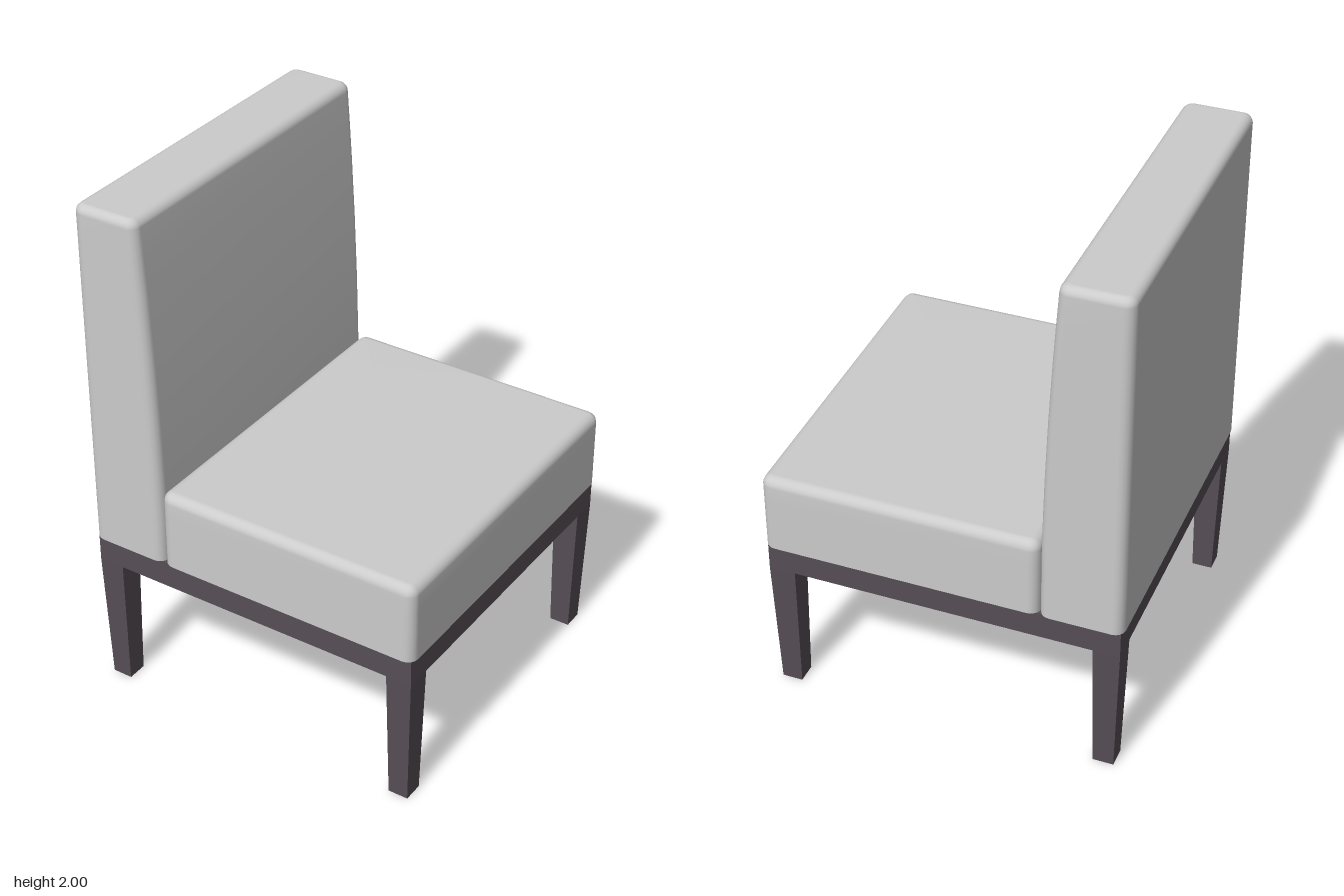
import * as THREE from 'three';

const fabric = new THREE.MeshStandardMaterial({ color: 0xcccccc, side: THREE.DoubleSide });
const wood = new THREE.MeshStandardMaterial({ color: 0x564e55 });

const BASE = 0.635; // top of the frame, where the cushions rest
const HALF_Z = 0.658;

// Upholstered shell, open underneath: rounded-rectangle rings stacked upwards.
// frontAt(y) gives the front face's x at each height.
function cushion(name, x0, frontAt, top, heights, round) {
  const corner = 0.04, steps = 4;
  const rings = heights.map((y) => [y, 0]);
  for (let i = 0; i <= 5; i++) {
    const a = (i / 5) * Math.PI / 2;
    rings.push([top - round + round * Math.sin(a), round * (1 - Math.cos(a))]);
  }
  const pos = [], index = [], n = 4 * (steps + 1);
  for (const [y, inset] of rings) {
    const r = Math.max(corner - inset, 0.006);
    const xa = x0 + inset + r, xb = frontAt(y) - inset - r, z = HALF_Z - inset - r;
    const centres = [[xb, z], [xa, z], [xa, -z], [xb, -z]];
    centres.forEach(([cx, cz], q) => {
      for (let s = 0; s <= steps; s++) {
        const a = (q + s / steps) * Math.PI / 2;
        pos.push(cx + r * Math.cos(a), y, cz + r * Math.sin(a));
      }
    });
  }
  for (let k = 0; k < rings.length - 1; k++) {
    for (let i = 0; i < n; i++) {
      const a = k * n + i, b = k * n + (i + 1) % n;
      index.push(a, a + n, b, b, a + n, b + n);
    }
  }
  // top panel
  const last = (rings.length - 1) * n;
  pos.push((x0 + frontAt(top)) / 2, top, 0);
  for (let i = 0; i < n; i++) index.push(last + i, rings.length * n, last + (i + 1) % n);

  const geo = new THREE.BufferGeometry();
  geo.setAttribute('position', new THREE.Float32BufferAttribute(pos, 3));
  geo.setIndex(index);
  geo.computeVertexNormals();
  const mesh = new THREE.Mesh(geo, fabric);
  mesh.name = name;
  return mesh;
}

function rectangle(Type, hx, hz) {
  const s = new Type();
  s.moveTo(-hx, -hz);
  s.lineTo(hx, -hz);
  s.lineTo(hx, hz);
  s.lineTo(-hx, hz);
  s.closePath();
  return s;
}

// Rectangular rail frame, open in the middle
function frame() {
  const shape = rectangle(THREE.Shape, 0.67, 0.645);
  shape.holes.push(rectangle(THREE.Path, 0.57, 0.545));
  const geo = new THREE.ExtrudeGeometry(shape, { depth: 0.105, bevelEnabled: false });
  geo.rotateX(-Math.PI / 2).translate(0, 0.53, 0);
  const mesh = new THREE.Mesh(geo, wood);
  mesh.name = 'seatFrame';
  return mesh;
}

// Square leg, tapering towards the floor
function leg(name, sx, sz) {
  const geo = new THREE.BoxGeometry(0.1, 0.53, 0.1);
  const p = geo.attributes.position;
  for (let i = 0; i < p.count; i++) {
    const foot = p.getY(i) < 0;
    const k = foot ? 0.78 : 1;
    p.setXYZ(i, p.getX(i) * k + sx * (foot ? 0.616 : 0.62), p.getY(i) + 0.265,
      p.getZ(i) * k + sz * (foot ? 0.592 : 0.595));
  }
  geo.computeVertexNormals();
  const mesh = new THREE.Mesh(geo, wood);
  mesh.name = name;
  return mesh;
}

export function createModel() {
  const chair = new THREE.Group();
  chair.name = 'chair';

  chair.add(cushion('seatCushion', -0.37, () => 0.68, 0.945, [BASE, 0.75, 0.85], 0.038));

  // backrest front leans back with a slight curve above the seat
  const lean = (y) => {
    const t = Math.max(0, (y - 0.9) / 1.1);
    return -0.37 - 0.018 * t - 0.034 * t * t;
  };
  chair.add(cushion('backrest', -0.68, lean, 2, [BASE, 0.8, 0.95, 1.2, 1.45, 1.7, 1.85], 0.032));

  chair.add(frame());
  for (const sx of [-1, 1]) {
    for (const sz of [-1, 1]) {
      chair.add(leg((sx > 0 ? 'front' : 'back') + 'Leg' + (sz > 0 ? 'A' : 'B'), sx, sz));
    }
  }
  return chair;
}
